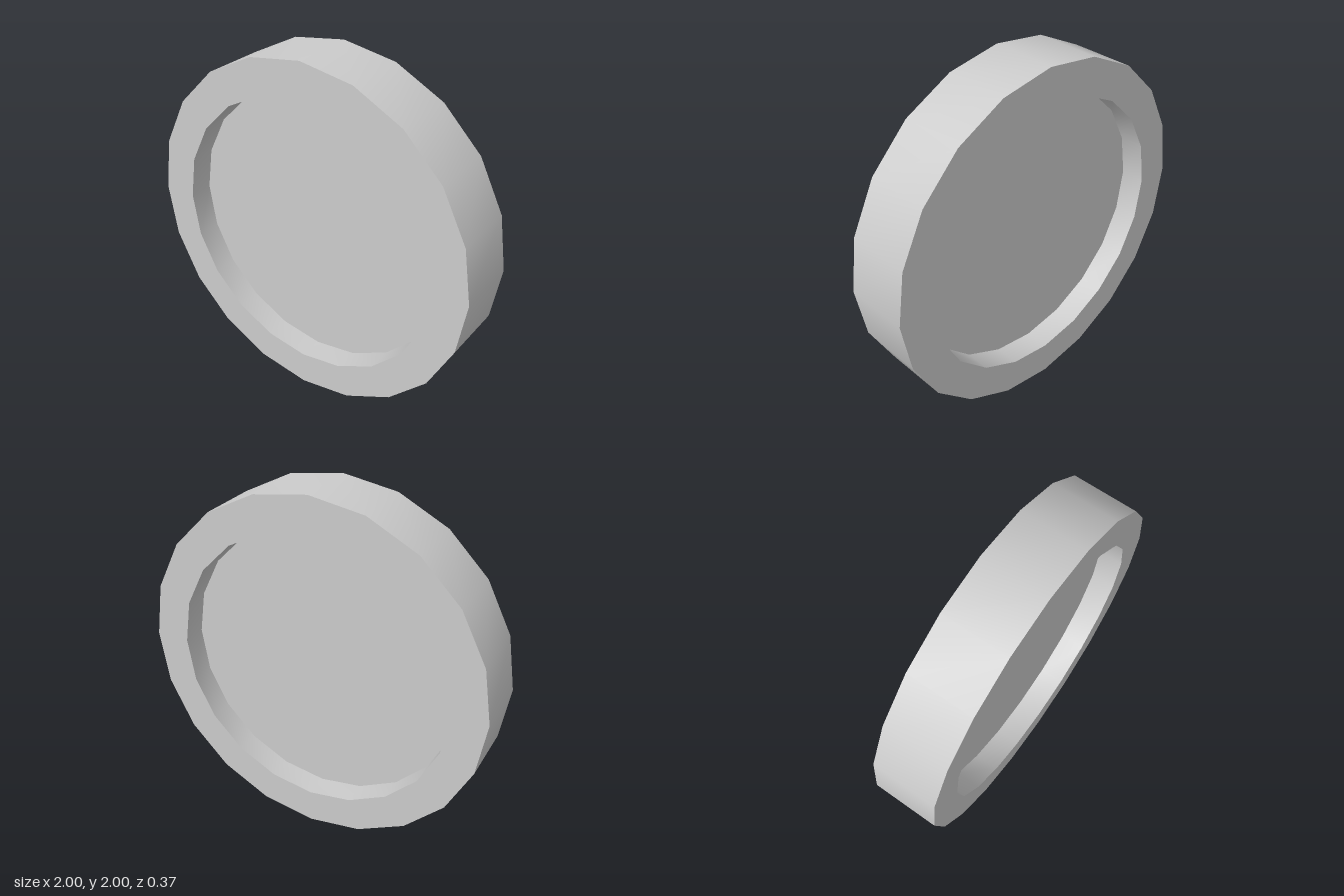
import * as THREE from 'three';
import { toCreasedNormals } from 'three/addons/utils/BufferGeometryUtils.js';

const SIDES = 20;
const OUTER = 1, INNER = 0.8;
const HALF_DEPTH = 0.185; // rim
const HALF_PANEL = 0.043; // recessed disc

export function createModel() {
  const group = new THREE.Group();
  const material = new THREE.MeshStandardMaterial({ color: 0xcccccc });
  const add = (name, geometry) => {
    const mesh = new THREE.Mesh(geometry, material);
    mesh.name = name;
    mesh.position.y = OUTER;
    group.add(mesh);
    return mesh;
  };

  // Rim: inner walls, flat faces and outer wall, open where the panels meet it
  const profile = [
    [INNER, -HALF_PANEL], [INNER, -HALF_DEPTH], [OUTER, -HALF_DEPTH],
    [OUTER, HALF_DEPTH], [INNER, HALF_DEPTH], [INNER, HALF_PANEL],
  ].map(([r, y]) => new THREE.Vector2(r, y));
  const rim = new THREE.LatheGeometry(profile, SIDES).rotateX(Math.PI / 2);
  add('rim', toCreasedNormals(rim, Math.PI / 6));

  // Recessed panels closing the front and back
  const panel = new THREE.CircleGeometry(INNER, SIDES);
  add('frontPanel', panel).position.z = HALF_PANEL;
  const back = add('backPanel', panel);
  back.position.z = -HALF_PANEL;
  back.rotation.y = Math.PI;

  return group;
}
